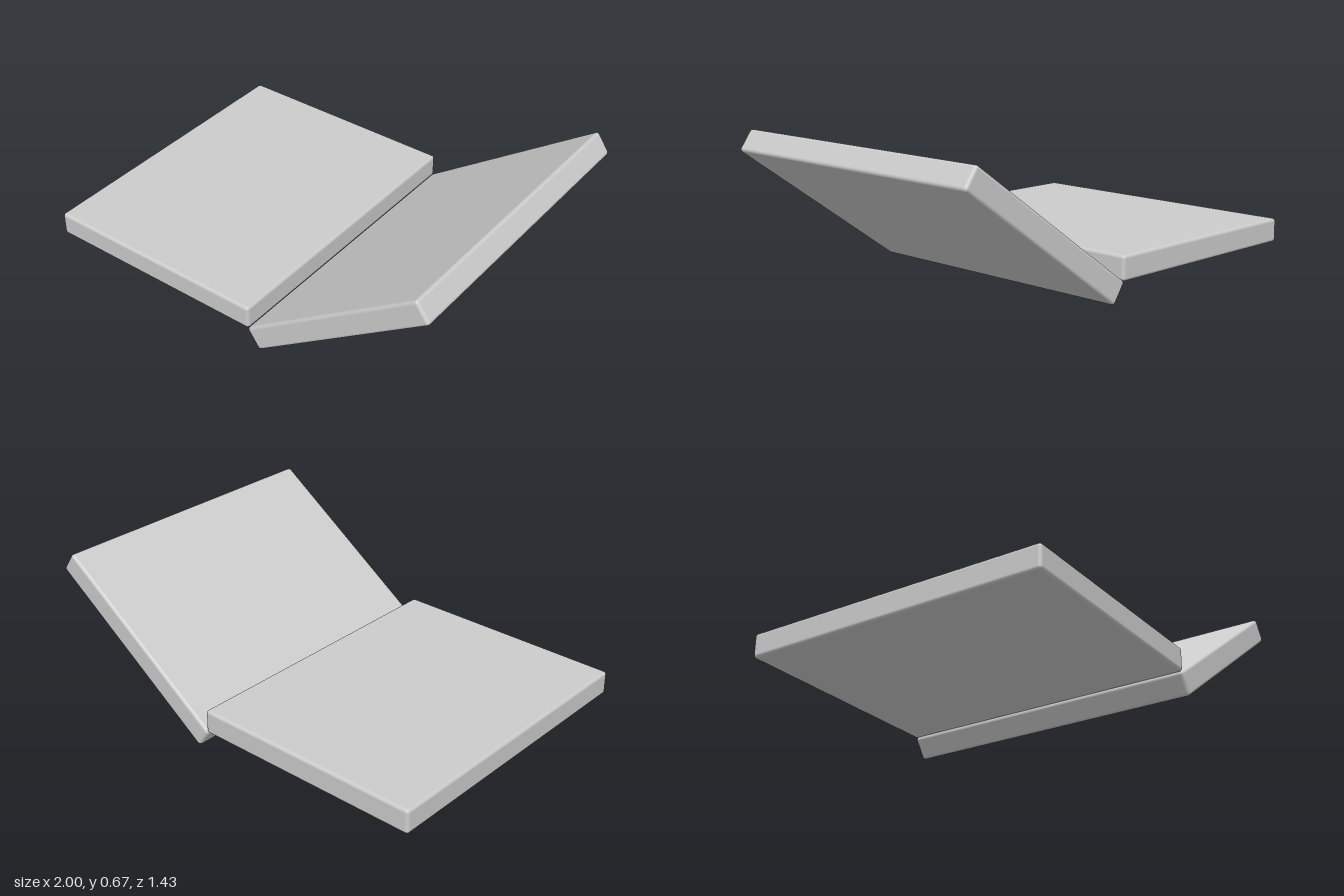
import * as THREE from 'three';
import { RoundedBoxGeometry } from 'three/addons/geometries/RoundedBoxGeometry.js';

const THICKNESS = 0.112, DEPTH = 1.426, EDGE = 0.015;

export function createModel() {
  const group = new THREE.Group();
  const material = new THREE.MeshStandardMaterial({ color: 0xcccccc });

  // A softly rounded cushion slab, tilted about the z axis
  const addSlab = (name, length, x, y, tilt) => {
    const slab = new THREE.Mesh(
      new RoundedBoxGeometry(length, THICKNESS, DEPTH, 4, EDGE), material);
    slab.name = name;
    slab.position.set(x, y, 0);
    slab.rotation.z = THREE.MathUtils.degToRad(tilt);
    group.add(slab);
  };

  addSlab('flatPanel', 1.108, -0.446, 0.144, 0);
  addSlab('tiltedPanel', 1.03, 0.551, 0.337, 35);
  return group;
}
